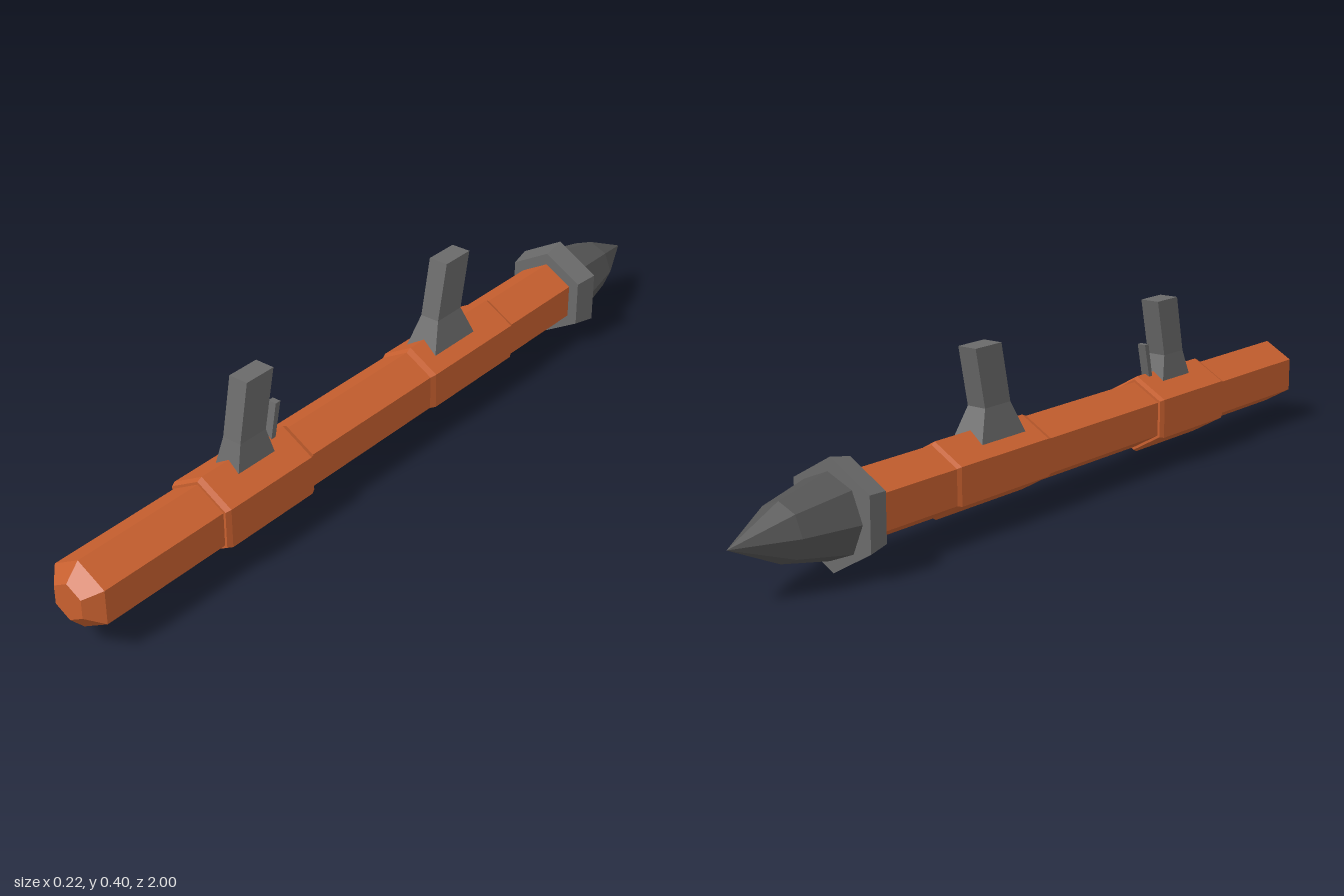
import * as THREE from 'three';

const AXIS_Y = 0.127;

const paint = (color) => new THREE.MeshStandardMaterial({ color, flatShading: true });

// Faceted solid turned about the z axis; profile is [radius, z] from back to front
function turned(name, profile, sides, material) {
  const points = profile.map(([r, z]) => new THREE.Vector2(r, z));
  const geometry = new THREE.LatheGeometry(points, sides).toNonIndexed();
  geometry.rotateX(Math.PI / 2);
  geometry.computeVertexNormals();
  const mesh = new THREE.Mesh(geometry, material);
  mesh.name = name;
  mesh.position.y = AXIS_Y;
  return mesh;
}

// Box stretched through sections [y, zBack, zFront, halfWidth], bottom to top
function lofted(name, sections, material) {
  const n = sections.length - 1;
  const geometry = new THREE.BoxGeometry(1, 1, 1, 1, n, 1).toNonIndexed();
  const p = geometry.attributes.position;
  for (let i = 0; i < p.count; i++) {
    const [y, back, front, half] = sections[Math.round((p.getY(i) + 0.5) * n)];
    p.setXYZ(i, Math.sign(p.getX(i)) * half, y, p.getZ(i) > 0 ? front : back);
  }
  geometry.computeVertexNormals();
  const mesh = new THREE.Mesh(geometry, material);
  mesh.name = name;
  return mesh;
}

export function createModel() {
  const group = new THREE.Group();
  group.name = 'launcher';
  const orange = paint(0xc8602f);
  const grey = paint(0x6a6a6a);
  const dark = paint(0x555555);

  group.add(
    // Hexagonal tube with a chamfered front end
    turned('tube', [[0, -0.7], [0.083, -0.7], [0.083, 0.965], [0.045, 1], [0, 1]], 6, orange),
    // Thicker bands under the two grips
    turned('frontBand', [[0.08, 0.345], [0.09, 0.345], [0.096, 0.357], [0.096, 0.612], [0.09, 0.625], [0.08, 0.625]], 6, orange),
    turned('rearBand', [[0.08, -0.405], [0.083, -0.405], [0.089, -0.395], [0.089, -0.095], [0.083, -0.08]], 6, orange),
    // Flared collar and pointed head
    turned('collar', [[0, -0.713], [0.125, -0.713], [0.113, -0.655], [0, -0.655]], 6, grey),
    turned('headNeck', [[0, -0.73], [0.075, -0.73], [0.075, -0.705], [0, -0.705]], 8, dark),
    turned('head', [[0, -1], [0.066, -0.86], [0.096, -0.722], [0, -0.722]], 8, dark),
    // Slanted grips with flared feet
    lofted('frontGrip', [[0.2, 0.42, 0.536, 0.034], [0.265, 0.437, 0.517, 0.025], [0.405, 0.406, 0.489, 0.025]], grey),
    lofted('rearGrip', [[0.19, -0.287, -0.135, 0.043], [0.265, -0.255, -0.167, 0.025], [0.405, -0.285, -0.197, 0.025]], grey),
    // Thin trigger behind the front grip
    lofted('trigger', [[0.205, 0.395, 0.408, 0.011], [0.3, 0.373, 0.388, 0.011]], grey)
  );
  return group;
}
